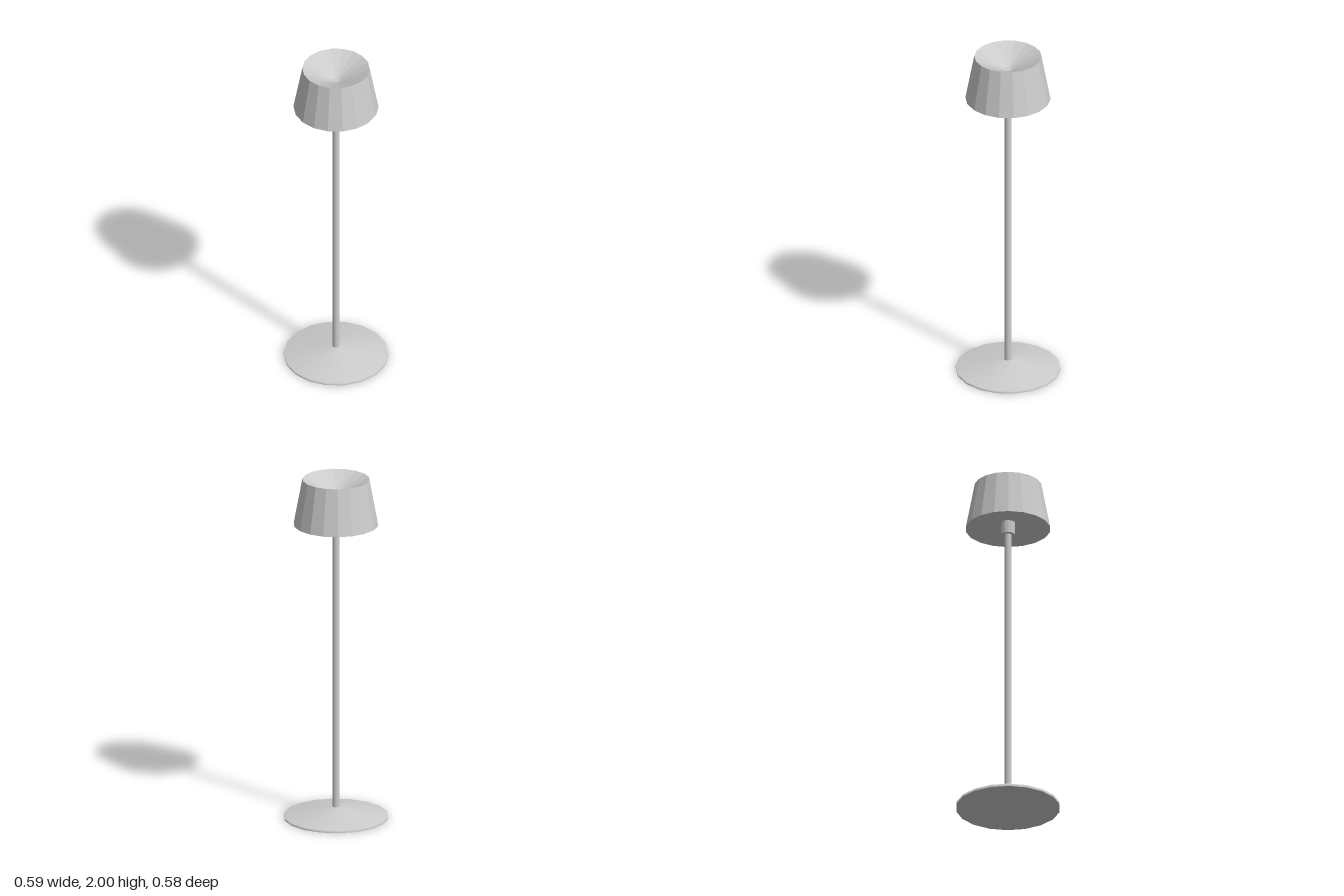
import * as THREE from 'three';

const SIDES = 18;

// Turned part from [radius, height] pairs, listed so that the outside faces outward
function turned(name, profile, flat) {
  const points = profile.map(([r, y]) => new THREE.Vector2(r, y));
  const geometry = new THREE.LatheGeometry(points, SIDES, Math.PI / 2);
  const material = new THREE.MeshStandardMaterial({ color: 0xcccccc, flatShading: flat });
  const mesh = new THREE.Mesh(geometry, material);
  mesh.name = name;
  return mesh;
}

export function createModel() {
  const lamp = new THREE.Group();
  lamp.name = 'floorLamp';

  // Shallow conical foot with a thin rim, softly shaded, and its flat underside
  lamp.add(turned('base', [[0.295, 0], [0.295, 0.015], [0.02, 0.065], [0, 0.065]], false));
  lamp.add(turned('baseUnderside', [[0, 0], [0.295, 0]], true));

  // Slim pole and the collar that carries the shade
  lamp.add(turned('pole', [[0.021, 0.06], [0.021, 1.7]], false));
  lamp.add(turned('collar', [[0, 1.696], [0.04, 1.696], [0.04, 1.78]], true));

  // Faceted tapering shade: hollowed underside, sloping wall, dished top
  lamp.add(turned('shade', [
    [0, 1.775], [0.04, 1.77], [0.24, 1.733],
    [0.19, 2], [0.022, 1.917], [0, 1.917],
  ], true));

  return lamp;
}
